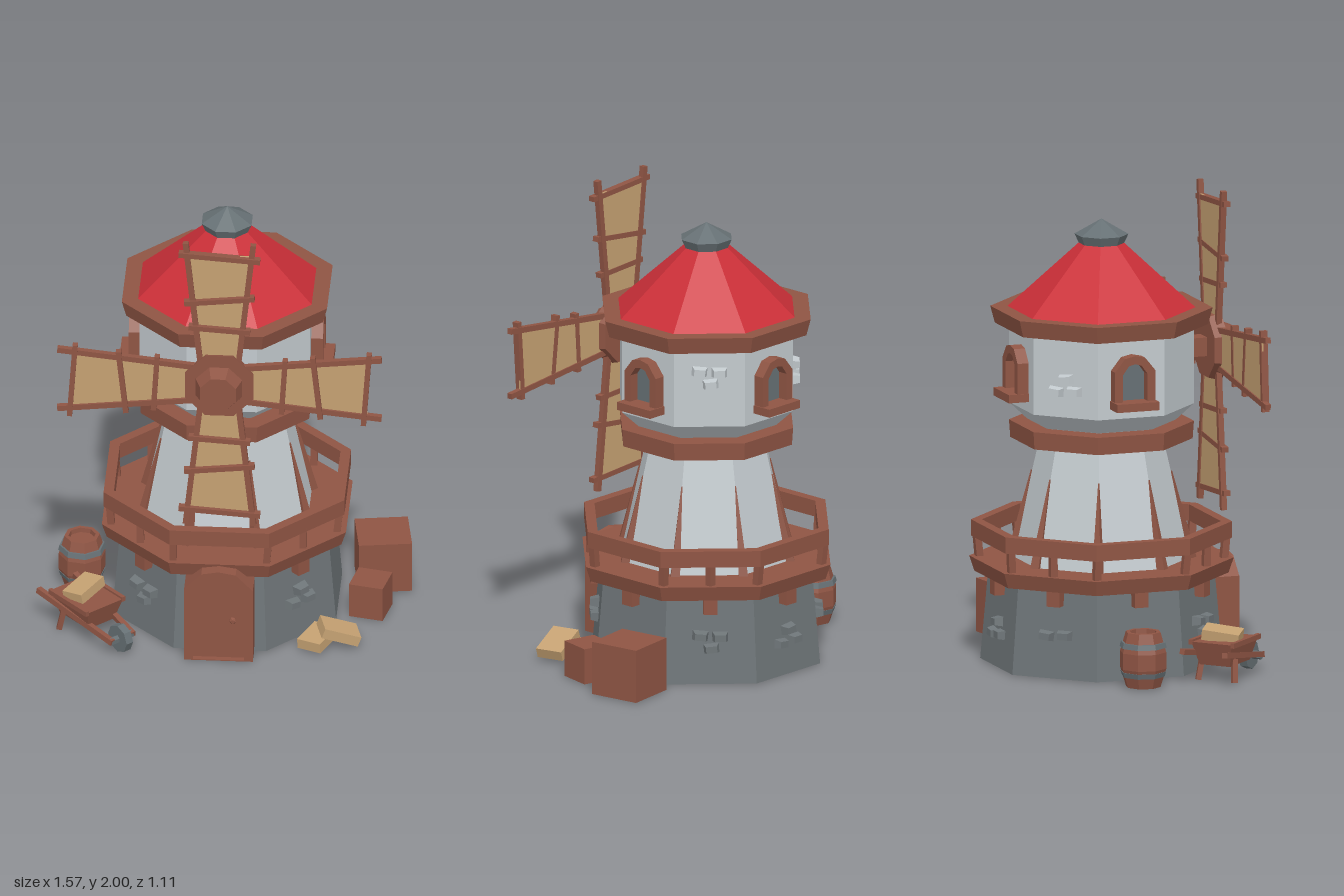
import * as THREE from 'three';

const mat = (name, color) => { const m = new THREE.MeshStandardMaterial({ color }); m.name = name; return m; };
const wood = mat('wood', 0x8f5544), cloth = mat('cloth', 0xc5a172), red = mat('roof red', 0xcb2f38);
const pale = mat('pale plaster', 0xc3cace), stone = mat('dark stone', 0x6e7578), iron = mat('iron', 0x667074);

const C8 = Math.cos(Math.PI / 8);
const V = (x, y, z) => new THREE.Vector3(x, y, z);

// Faceted mesh
function part(parent, name, geo, material, x = 0, y = 0, z = 0) {
  const g = geo.index ? geo.toNonIndexed() : geo;
  g.computeVertexNormals();
  const m = new THREE.Mesh(g, material);
  m.name = name;
  m.position.set(x, y, z);
  parent.add(m);
  return m;
}
const box = (w, h, d) => new THREE.BoxGeometry(w, h, d);

function group(parent, name, x = 0, y = 0, z = 0, ry = 0) {
  const g = new THREE.Group();
  g.name = name;
  g.position.set(x, y, z);
  g.rotation.y = ry;
  parent.add(g);
  return g;
}

// Octagonal solid; the profile lists [apothem, y] from bottom to top
const octagon = (pts) => new THREE.LatheGeometry(
  pts.map(([a, y]) => new THREE.Vector2(a / C8, y)), 8, Math.PI / 8);
const ring = (inner, outerLow, outerTop, y0, y1) =>
  octagon([[outerLow, y0], [outerTop, y1], [inner, y1], [inner, y0], [outerLow, y0]]);

// Straight member between two points
function beam(parent, name, p, q, geo, material) {
  const d = q.clone().sub(p), m = part(parent, name, geo(d.length()), material);
  m.position.copy(p).addScaledVector(d, 0.5);
  m.quaternion.setFromUnitVectors(V(0, 1, 0), d.normalize());
  return m;
}
const bar = (w, d) => (l) => box(w, l, d);

// Arched outline, with an optional arched opening
function arch(w, h, shoulder, Type = THREE.Shape) {
  const s = new Type();
  [[-w, 0], [w, 0], [w, shoulder], [w * 0.5, h - (h - shoulder) * 0.15], [0, h],
    [-w * 0.5, h - (h - shoulder) * 0.15], [-w, shoulder]].forEach(([x, y], i) => i ? s.lineTo(x, y) : s.moveTo(x, y));
  s.closePath();
  return s;
}
const slab = (shape, depth) => new THREE.ExtrudeGeometry(shape, { depth, bevelEnabled: false });

// Bevelled wall stones in a group of three
function stones(parent, angle, apothem, y, flip = 1, count = 3) {
  const g = group(parent, 'wallStones', Math.sin(angle) * apothem, y, Math.cos(angle) * apothem, angle);
  [[-0.042, -0.02], [0.042, -0.015], [0.005, 0.035]].slice(0, count).forEach(([x, dy], i) => {
    const geo = box(0.078, 0.048, 0.055), p = geo.attributes.position;
    for (let k = 0; k < p.count; k++) if (p.getZ(k) > 0) p.setXY(k, p.getX(k) * 0.6, p.getY(k) * 0.6);
    part(g, 'stone', geo, apothem > 0.4 ? stone : pale, x, dy * flip, 0.005).rotation.z = (i - 1) * 0.1;
  });
}

function buildTower(root) {
  const t = group(root, 'tower', -0.012, 0, -0.04);
  part(t, 'base', octagon([[0, 0], [0.472, 0], [0.44, 0.39], [0, 0.39]]), stone);
  part(t, 'shaft', octagon([[0.352, 0.42], [0.238, 0.96]]), pale);
  part(t, 'head', octagon([[0.29, 1.03], [0.36, 1.1], [0.36, 1.46]]), pale);
  part(t, 'neckRing', octagon([[0.2, 0.95], [0.355, 0.95], [0.36, 1.025], [0.27, 1.025]]), wood);
  part(t, 'eavesRing', ring(0.34, 0.415, 0.433, 1.44, 1.512), wood);
  part(t, 'roof', octagon([[0.368, 1.51], [0.085, 1.79]]), red);
  part(t, 'roofCap', octagon([[0, 1.785], [0.088, 1.785], [0.105, 1.825], [0, 1.89]]), iron);

  // Balcony
  part(t, 'balconyFloor', ring(0.32, 0.495, 0.515, 0.375, 0.44), wood);
  part(t, 'balconyRail', ring(0.465, 0.508, 0.508, 0.525, 0.595), wood);
  for (let i = 0; i < 8; i++) {
    const a = (i + 0.5) * Math.PI / 4, f = i * Math.PI / 4;
    const at = (ang, r, y) => V(Math.sin(ang) * r, y, Math.cos(ang) * r);
    beam(t, 'railPost', at(a, 0.515, 0.43), at(a + 0.01, 0.525, 0.54), bar(0.03, 0.03), wood);
    if (i % 2) beam(t, 'railPost', at(f, 0.485, 0.43), at(f, 0.487, 0.54), bar(0.03, 0.03), wood);
    beam(t, 'shaftRib', at(a, 0.376, 0.43), at(a, 0.295, 0.81),
      (l) => new THREE.CylinderGeometry(0.003, 0.028, l, 4), wood);
    if (i) {
      const b = part(t, 'bracket', box(0.06, 0.08, 0.07), wood);
      b.position.copy(at(f, 0.455, 0.35));
      b.rotation.y = f;
    }
  }

  // Windows on the two sides and the back
  for (let i = 1; i < 4; i++) {
    const a = i * Math.PI / 2;
    const w = group(t, 'window', Math.sin(a) * 0.35, 1.16, Math.cos(a) * 0.35, a);
    const frame = arch(0.09, 0.215, 0.15);
    frame.holes.push(new THREE.Path(arch(0.056, 0.17, 0.125).getPoints().map((p) => p.add(new THREE.Vector2(0, 0.01)))));
    part(w, 'windowFrame', slab(frame, 0.06), wood);
    part(w, 'windowPane', slab(arch(0.06, 0.18, 0.13), 0.008), iron, 0, 0.005, 0.008);
    part(w, 'windowSill', box(0.19, 0.035, 0.1), wood, 0, 0.002, 0.05);
  }

  // Door
  const d = group(t, 'door', 0, 0, 0.4);
  const frame = arch(0.145, 0.432, 0.345);
  frame.holes.push(new THREE.Path(arch(0.108, 0.38, 0.32).getPoints().map((p) => p.add(new THREE.Vector2(0, 0.004)))));
  part(d, 'doorFrame', slab(frame, 0.165), wood);
  part(d, 'doorPanel', slab(arch(0.112, 0.385, 0.325), 0.14), wood);
  part(d, 'doorKnob', new THREE.IcosahedronGeometry(0.016, 0), wood, 0.06, 0.19, 0.15);

  // Stonework
  const q = Math.PI / 4;
  stones(t, q, 0.458, 0.19);
  stones(t, -q, 0.458, 0.19, -1);
  stones(t, 3 * q, 0.458, 0.19, -1);
  stones(t, 4 * q, 0.458, 0.16);
  stones(t, 5 * q, 0.458, 0.2, 1, 2);
  stones(t, 3 * q, 0.36, 1.325, -1);
  stones(t, 5 * q, 0.36, 1.23, 1);
}

function buildSails(root) {
  const s = group(root, 'sails', -0.012, 1.315, 0.455);
  const disc = (name, r0, r1, z0, z1) => part(s, name,
    new THREE.CylinderGeometry(r1 / C8, r0 / C8, z1 - z0, 8, 1, false, Math.PI / 8).rotateX(Math.PI / 2), wood, 0, 0, (z0 + z1) / 2);
  part(s, 'axle', box(0.08, 0.08, 0.16), wood, 0, 0, -0.09);
  disc('hubPlate', 0.13, 0.145, -0.035, 0.02);
  disc('hubNeck', 0.07, 0.07, 0.02, 0.04);
  disc('hubBoss', 0.098, 0.075, 0.035, 0.095);

  for (let i = 0; i < 4; i++) {
    const b = group(s, 'sail');
    b.rotation.z = i * Math.PI / 2;
    const c = new THREE.Shape([[-0.08, 0.1], [0.08, 0.1], [0.128, 0.625], [-0.128, 0.625]]
      .map(([x, y]) => new THREE.Vector2(x, y)));
    part(b, 'sailCloth', slab(c, 0.008), cloth, 0, 0, -0.006);
    for (const k of [-1, 1])
      beam(b, 'sailPole', V(k * 0.078, 0.08, 0), V(k * 0.143, 0.684, 0), bar(0.024, 0.024), wood);
    [[0.27, 0.13, 0.008], [0.41, 0.148, -0.016], [0.62, 0.172, 0.012]].forEach(([r, w, tilt]) =>
      beam(b, 'sailBar', V(-w, r + tilt, 0.006), V(w, r - tilt, 0.006), bar(0.022, 0.03), wood));
  }
}

function buildBarrel(root) {
  const b = group(root, 'barrel', -0.627, 0, -0.08, 0.2);
  const lathe = (pts) => new THREE.LatheGeometry(pts.map(([r, y]) => new THREE.Vector2(r, y)), 8);
  part(b, 'barrelBody', lathe([[0, 0], [0.075, 0], [0.1, 0.08], [0.1, 0.15], [0.075, 0.235], [0.058, 0.235], [0.056, 0.215], [0, 0.215]]), wood);
  for (const [y, r0, r1] of [[0.045, 0.088, 0.095], [0.17, 0.098, 0.092]])
    part(b, 'barrelHoop', lathe([[r0 - 0.01, y], [r0 + 0.004, y], [r1 + 0.004, y + 0.022], [r1 - 0.01, y + 0.022]]), iron);
}

function buildWheelbarrow(root) {
  const w = group(root, 'wheelbarrow', -0.575, 0, 0.31, -0.82);
  // Tray, wider at the rim
  const tray = box(0.25, 0.1, 0.19), p = tray.attributes.position;
  for (let i = 0; i < p.count; i++) if (p.getY(i) < 0) p.setXYZ(i, p.getX(i) * 0.75, p.getY(i), p.getZ(i) * 0.75);
  part(w, 'tray', tray, wood, -0.01, 0.12, 0);
  for (const k of [-1, 1]) {
    beam(w, 'handle', V(-0.21, 0.14, k * 0.1), V(0.23, 0.065, k * 0.055), bar(0.024, 0.024), wood);
    beam(w, 'barrowLeg', V(-0.07, 0.1, k * 0.075), V(-0.09, 0, k * 0.085), bar(0.022, 0.022), wood);
    part(w, 'trayRim', box(0.25, 0.022, 0.018), wood, -0.01, 0.168, k * 0.098);
  }
  part(w, 'wheel', new THREE.CylinderGeometry(0.062, 0.062, 0.035, 8).rotateX(Math.PI / 2), iron, 0.215, 0.063, 0);
  part(w, 'wheelHub', new THREE.CylinderGeometry(0.018, 0.018, 0.12, 6).rotateX(Math.PI / 2), iron, 0.215, 0.063, 0);
  const sack = part(w, 'sack', box(0.1, 0.045, 0.16), cloth, -0.03, 0.193, 0);
  sack.rotation.set(0.12, 0.25, 0.1);
}

export function createModel() {
  const root = new THREE.Group();
  root.name = 'windmill';
  buildTower(root);
  buildSails(root);
  buildBarrel(root);
  buildWheelbarrow(root);
  // Crates and sacks beside the tower
  part(root, 'largeCrate', box(0.225, 0.23, 0.225), wood, 0.636, 0.115, -0.2).rotation.y = 0.147;
  part(root, 'smallCrate', box(0.148, 0.155, 0.148), wood, 0.6, 0.0775, 0.065).rotation.y = -0.22;
  part(root, 'lowerSack', box(0.11, 0.045, 0.15), cloth, 0.395, 0.033, 0.36).rotation.set(0.08, -0.45, 0.08);
  part(root, 'upperSack', box(0.165, 0.045, 0.12), cloth, 0.485, 0.062, 0.35).rotation.set(0, 0.25, -0.36);
  return root;
}
